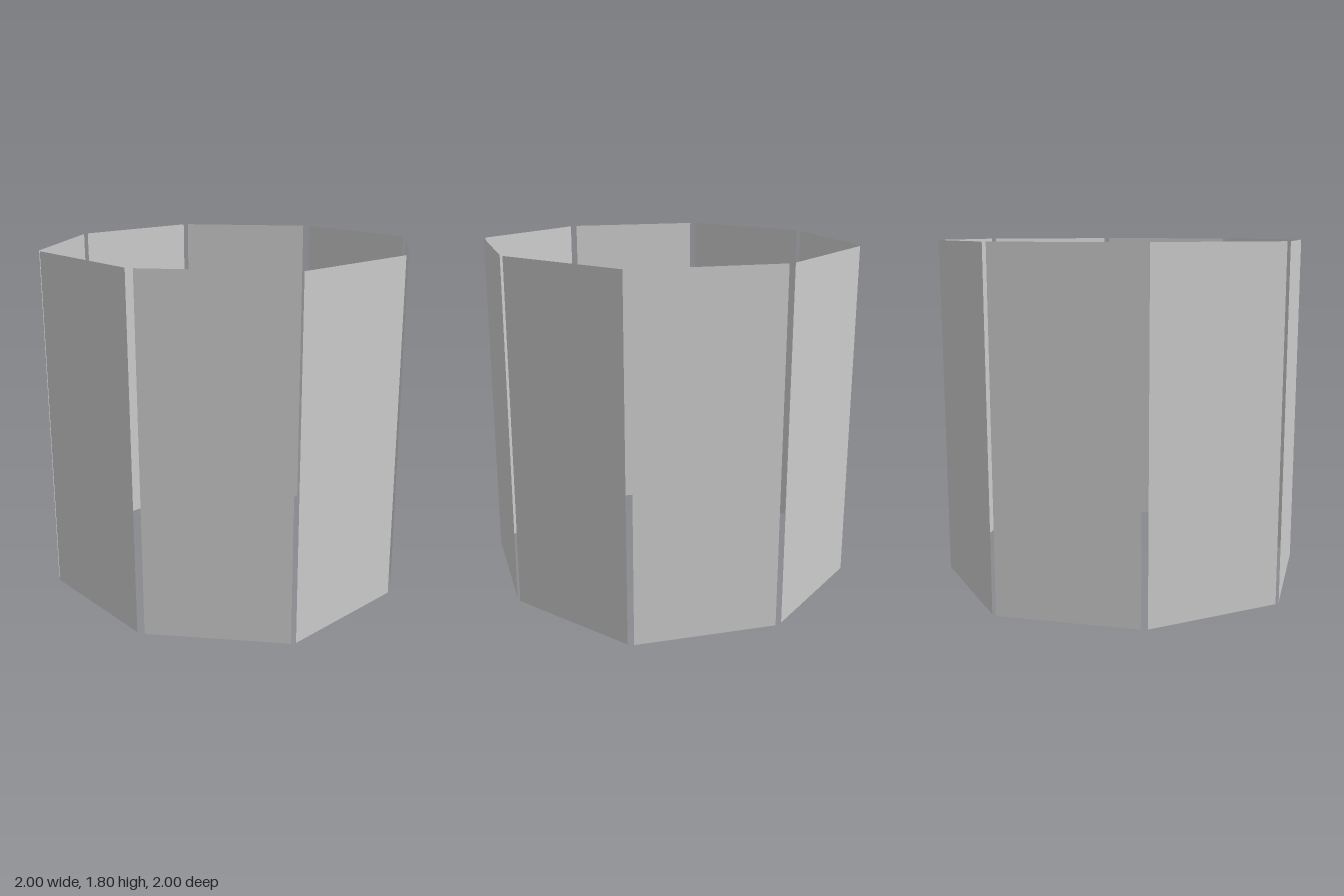
import * as THREE from 'three';

const HEIGHT = 1.8;

// Plan of one half of the ring: [x, z] at both ends of each flat panel
const HALF_RING = [
  ['frontPanel', [0.01, 1], [0.658, 0.68]],
  ['frontSidePanel', [0.682, 0.658], [1, 0.016]],
  ['backSidePanel', [1, -0.016], [0.703, -0.674]],
  ['backPanel', [0.672, -0.7], [0.016, -1]],
];

export function createModel() {
  const model = new THREE.Group();
  model.name = 'panelRing';
  const material = new THREE.MeshStandardMaterial({ color: 0xcccccc, side: THREE.DoubleSide });

  // Thin upright panel between two plan points, facing outwards
  function addPanel(name, [x0, z0], [x1, z1]) {
    const dx = x1 - x0, dz = z1 - z0;
    const panel = new THREE.Mesh(new THREE.PlaneGeometry(Math.hypot(dx, dz), HEIGHT), material);
    panel.name = name;
    panel.position.set((x0 + x1) / 2, HEIGHT / 2, (z0 + z1) / 2);
    panel.rotation.y = Math.atan2(-dz, dx);
    model.add(panel);
  }

  // The second half is the first turned by 180 degrees
  for (const [name, a, b] of HALF_RING) {
    addPanel(name, a, b);
    addPanel(name + 'Opposite', a.map(v => -v), b.map(v => -v));
  }
  return model;
}
